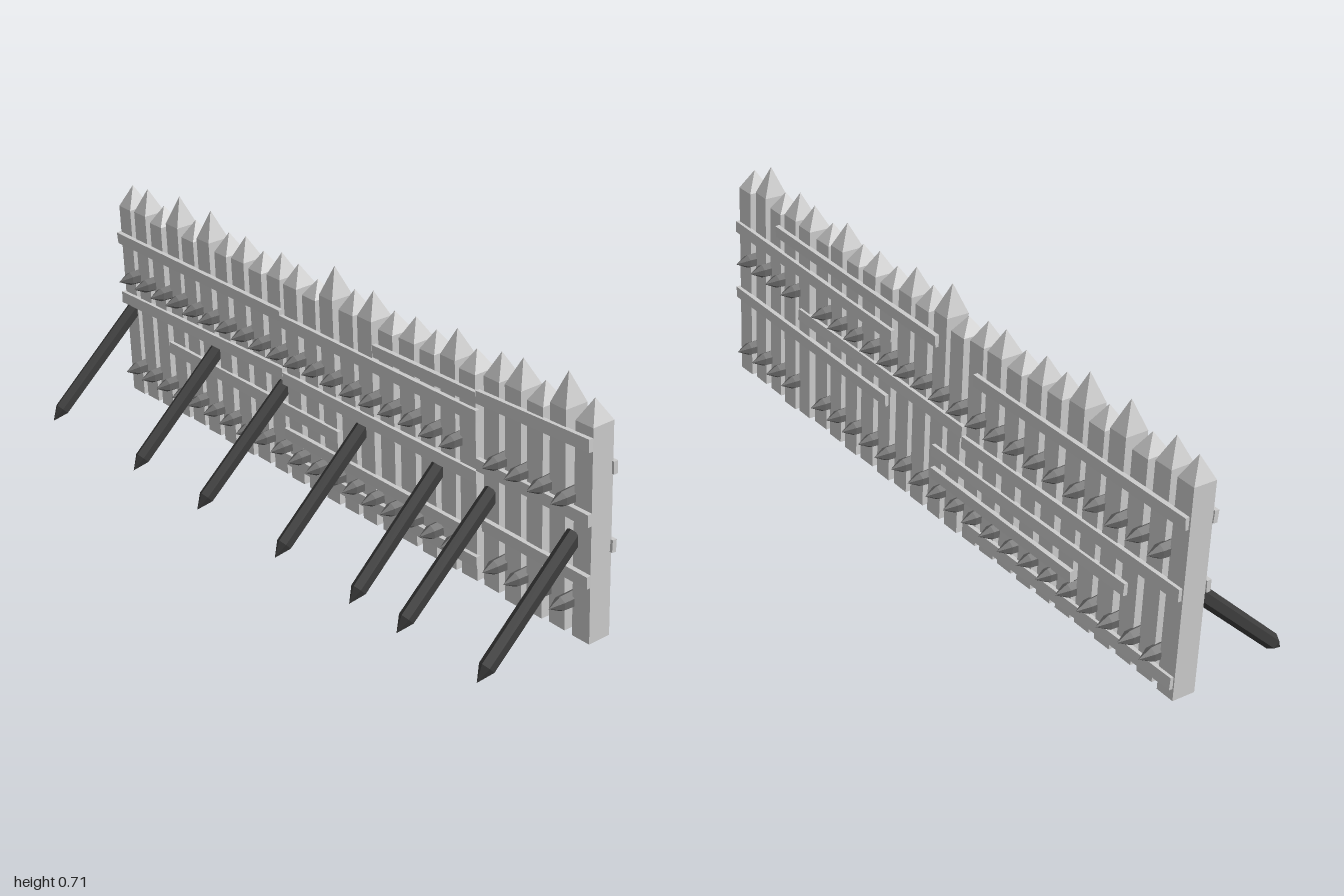
import * as THREE from 'three';

const grey = new THREE.MeshStandardMaterial({ color: 0xcccccc, flatShading: true });
const dark = new THREE.MeshStandardMaterial({ color: 0x3d3d3d, flatShading: true });
const iron = new THREE.MeshStandardMaterial({ color: 0x666666, flatShading: true });

// Seeded jitter in -1..1
let seed = 7;
const jitter = () => {
  seed = (seed * 16807) % 2147483647;
  return (seed / 2147483647) * 2 - 1;
};

// The wall leans: depth of its middle plane at height y
const LEAN = 0.05;
const wallZ = (y) => -0.127 + LEAN * y;
const HALF_DEPTH = 0.034;

// Faceted solid from [radius, height] pairs
function turned(profile, sides, start = 0) {
  return new THREE.LatheGeometry(profile.map(([r, y]) => new THREE.Vector2(r, y)), sides, start);
}

// Mesh whose local +y runs from a to b
function along(geometry, material, a, b, name) {
  const mesh = new THREE.Mesh(geometry, material);
  mesh.name = name;
  mesh.position.copy(a);
  mesh.quaternion.setFromUnitVectors(new THREE.Vector3(0, 1, 0), b.clone().sub(a).normalize());
  return mesh;
}

function createStakes() {
  const group = new THREE.Group();
  group.name = 'stakes';
  const tips = [0.68, 0.69, 0.66, 0.71, 0.66, 0.71, 0.67, 0.68, 0.66, 0.68, 0.67, 0.65, 0.71,
    0.67, 0.69, 0.66, 0.67, 0.66, 0.69, 0.66, 0.68, 0.69, 0.66, 0.71, 0.67];
  tips.forEach((tip, i) => {
    const base = 0.028 + 0.005 * jitter();
    const shoulder = 0.612 + 0.4 * (tip - 0.67);
    const r = Math.SQRT1_2;
    const geo = turned([[0, base], [r, base], [r, shoulder], [0, tip]], 4, Math.PI / 4);
    geo.scale(0.057 + 0.002 * jitter(), 1, 0.068);
    const stake = new THREE.Mesh(geo, grey);
    stake.name = 'stake';
    stake.position.set(-0.965 + 0.0803 * i, 0, wallZ(0) + 0.002 * jitter());
    stake.rotation.set(LEAN, 0.02 * jitter(), 0.006 * jitter());
    group.add(stake);
  });
  return group;
}

// Each plank: [x start, x end, y start, y end]
function createPlanks(rows, side, name) {
  const group = new THREE.Group();
  group.name = name;
  rows.forEach(([x0, x1, y0, y1]) => {
    const y = (y0 + y1) / 2;
    const plank = new THREE.Mesh(new THREE.BoxGeometry(x1 - x0, 0.034, 0.013), grey);
    plank.name = 'plank';
    plank.position.set((x0 + x1) / 2, y, wallZ(y) + side * (HALF_DEPTH + 0.005));
    plank.rotation.set(LEAN + 0.08 * jitter(), 0, Math.atan2(y1 - y0, x1 - x0));
    group.add(plank);
  });
  return group;
}

// Spikes driven through the gaps, pointed at both ends
function createSpikes() {
  const group = new THREE.Group();
  group.name = 'spikes';
  const geo = turned([[0, -0.096], [0.02, -0.058], [0.023, 0], [0.02, 0.058], [0, 0.096]], 6);
  [[0.411, -0.103], [0.122, -0.116]].forEach(([y, z]) => {
    for (let i = 0; i < 24; i++) {
      if (i === 19) continue;
      const spike = new THREE.Mesh(geo, iron);
      spike.name = 'spike';
      spike.position.set(-0.922 + 0.0802 * i, y + 0.002 * jitter(), z);
      spike.rotation.set(Math.PI / 2 + 0.05, 0, 0.02 * jitter());
      group.add(spike);
    }
  });
  return group;
}

// Slanted props with pointed feet
function createBraces() {
  const group = new THREE.Group();
  group.name = 'braces';
  [[-0.96, -0.967], [-0.535, -0.535], [-0.213, -0.22], [0.133, 0.135],
    [0.44, 0.448], [0.637, 0.635], [0.93, 0.932]].forEach(([topX, footX]) => {
    const foot = new THREE.Vector3(footX, 0.004, 0.213);
    const top = new THREE.Vector3(topX, 0.305, -0.09);
    const length = foot.distanceTo(top);
    const geo = turned([[0, 0], [0.022, 0.043], [0.023, length], [0, length]], 6);
    group.add(along(geo, dark, foot, top, 'brace'));
  });
  return group;
}

export function createModel() {
  const model = new THREE.Group();
  model.name = 'palisade';
  const front = [
    [-1, -0.2, 0.515, 0.515], [-0.2, 0.6, 0.5, 0.5], [0.2, 0.6, 0.545, 0.55], [0.6, 0.995, 0.555, 0.567],
    [-1, -0.2, 0.325, 0.342], [-0.2, 0.6, 0.33, 0.332], [0.6, 0.995, 0.37, 0.37],
    [-0.76, 0.04, 0.238, 0.236], [0.62, 0.995, 0.208, 0.203], [-0.2, 0.57, 0.162, 0.162],
    [-0.2, 0.6, 0.083, 0.09],
  ];
  const back = [
    [0.2, 1, 0.48, 0.49], [0, 0.78, 0.552, 0.56], [0.22, 1, 0.275, 0.28], [-0.13, 0.66, 0.345, 0.35],
    [-0.99, -0.17, 0.52, 0.518], [-0.99, -0.13, 0.325, 0.318], [-0.8, 0, 0.235, 0.23],
    [-0.6, 0, 0.16, 0.162], [-0.99, -0.17, 0.075, 0.07],
  ];
  model.add(createStakes(), createPlanks(front, 1, 'frontPlanks'), createPlanks(back, -1, 'backPlanks'),
    createSpikes(), createBraces());
  return model;
}
